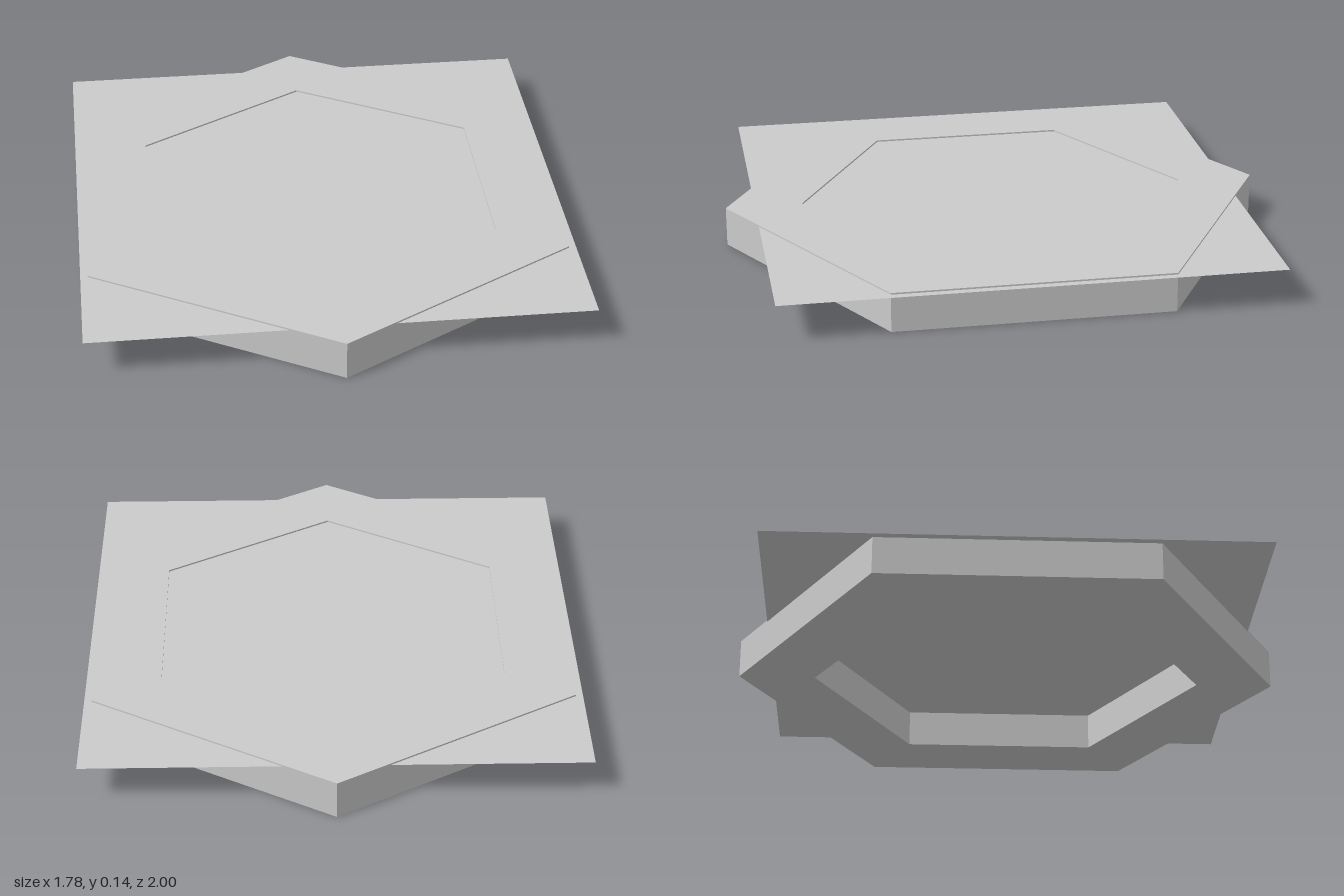
import * as THREE from 'three';

const HEIGHT = 0.145;

// Hexagon corners with a point on the +y and -y axis
function hexPoints(radius) {
  return Array.from({ length: 6 }, (_, i) => {
    const a = Math.PI / 2 + (i * Math.PI) / 3;
    return new THREE.Vector2(radius * Math.cos(a), radius * Math.sin(a));
  });
}

export function createModel() {
  const group = new THREE.Group();
  group.name = 'hexagonalFrameWithSheet';

  // Open hexagonal frame, points towards front and back
  const outline = new THREE.Shape(hexPoints(1));
  outline.holes.push(new THREE.Path(hexPoints(0.718).reverse()));
  const frameGeometry = new THREE.ExtrudeGeometry(outline, { depth: HEIGHT, bevelEnabled: false });
  frameGeometry.rotateX(-Math.PI / 2);
  const frame = new THREE.Mesh(
    frameGeometry,
    new THREE.MeshStandardMaterial({ color: 0xcccccc, flatShading: true })
  );
  frame.name = 'hexFrame';
  group.add(frame);

  // Thin square sheet just below the top of the frame
  const sheetGeometry = new THREE.PlaneGeometry(1.785, 1.785);
  sheetGeometry.rotateX(-Math.PI / 2);
  const sheet = new THREE.Mesh(
    sheetGeometry,
    new THREE.MeshStandardMaterial({ color: 0xcccccc, side: THREE.DoubleSide })
  );
  sheet.name = 'squareSheet';
  sheet.position.y = HEIGHT - 0.006;
  group.add(sheet);

  return group;
}
